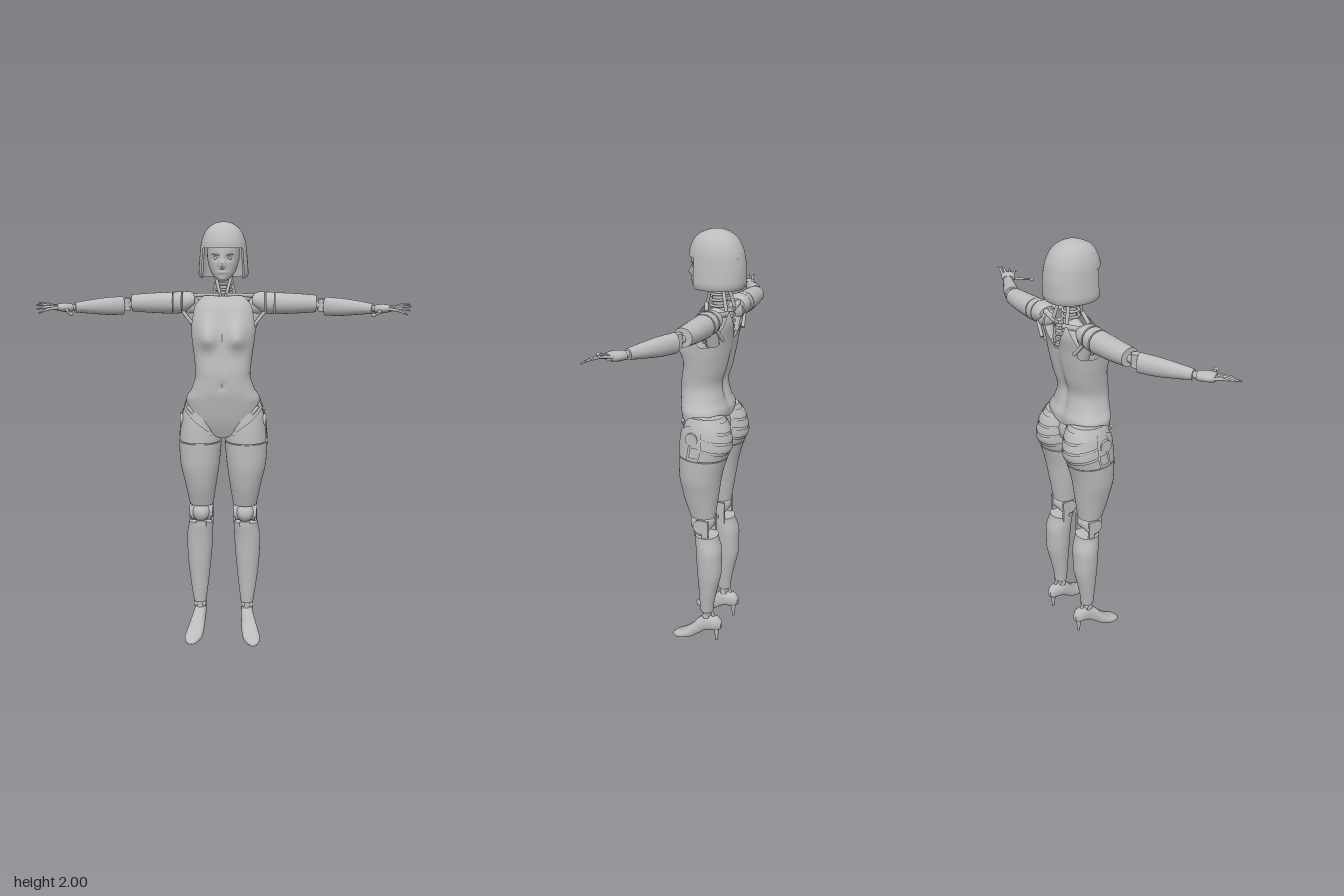
import * as THREE from 'three';
import { mergeVertices, toCreasedNormals } from 'three/addons/utils/BufferGeometryUtils.js';

const grey = new THREE.MeshStandardMaterial({ color: 0xbcbcbc, side: THREE.DoubleSide });
grey.name = 'shell grey';
const D = Math.PI / 180;
const bump = (d, s) => Math.exp(-(d * d) / (2 * s * s));

// Smooth, non-overshooting interpolation of rows [key, a, b, ...] with rising keys
function sample(rows) {
  const slope = (i, c) => (rows[i + 1][c] - rows[i][c]) / (rows[i + 1][0] - rows[i][0]);
  const tangent = (i, c) => {
    if (i === 0) return slope(0, c);
    if (i === rows.length - 1) return slope(i - 1, c);
    const p = slope(i - 1, c), q = slope(i, c);
    return p * q > 0 ? (2 * p * q) / (p + q) : 0;
  };
  return (key) => {
    let i = 0;
    while (i < rows.length - 2 && key > rows[i + 1][0]) i++;
    const h = rows[i + 1][0] - rows[i][0];
    const t = Math.min(1, Math.max(0, (key - rows[i][0]) / h)), t2 = t * t, t3 = t2 * t;
    return rows[i].slice(1).map((v, k) => (2 * t3 - 3 * t2 + 1) * v + (t3 - 2 * t2 + t) * h * tangent(i, k + 1)
      + (3 * t2 - 2 * t3) * rows[i + 1][k + 1] + (t3 - t2) * h * tangent(i + 1, k + 1));
  };
}

function add(parent, name, geo, pos = [0, 0, 0], scale = [1, 1, 1]) {
  const m = new THREE.Mesh(geo, grey);
  m.name = name;
  m.position.set(...pos);
  m.scale.set(...scale);
  parent.add(m);
  return m;
}

// Grid surface from fn(u, v), welded at seams, with creases kept sharp
function surface(fn, nu, nv) {
  const pos = [], idx = [];
  for (let j = 0; j <= nv; j++) for (let i = 0; i <= nu; i++) pos.push(...fn(i / nu, j / nv, j));
  for (let j = 0; j < nv; j++) for (let i = 0; i < nu; i++) {
    const a = j * (nu + 1) + i, b = a + 1, c = a + nu + 1, d = c + 1;
    idx.push(a, b, d, a, d, c);
  }
  const g = new THREE.BufferGeometry();
  g.setAttribute('position', new THREE.Float32BufferAttribute(pos, 3));
  g.setIndex(idx);
  return toCreasedNormals(mergeVertices(g, 1e-5), 0.8);
}

// Superellipse point: half width w, front z f, back z b, angle a from the front towards +x
function oval(w, f, b, a, k, e = 2.2) {
  const p = (t) => Math.sign(t) * Math.abs(t) ** (2 / e);
  return [k * w * p(Math.sin(a)), (f + b) / 2 + k * ((f - b) / 2) * p(Math.cos(a))];
}

// Patch of an upright shape(y, angle, scale) between lower and upper edge curves
function skin(shape, lo, hi, { a0 = 0, a1 = 360, nu = 40, nv = 24, cap = false, k = 1, ease = (v) => v } = {}) {
  const at = (e, a) => (typeof e === 'function' ? e(a) : e);
  return surface((u, v, j) => {
    const deg = a0 + (a1 - a0) * u;
    const t = cap ? Math.min(1, Math.max(0, (j - 1) / (nv - 2))) : v;
    const y = at(lo, deg) + (at(hi, deg) - at(lo, deg)) * ease(t);
    return shape(y, deg * D, cap && (j === 0 || j === nv) ? 0 : k);
  }, nu, nv);
}

// Closed loft through rings [x, y, z, vertical radius, side radius]
function limb(rings, dir, nv = 14, nu = 24, e = 2.1) {
  const at = sample(rings.map((r, i) => [i, ...r]));
  const first = rings[0], last = rings[rings.length - 1];
  const T = dir ? new THREE.Vector3(...dir)
    : new THREE.Vector3(last[0] - first[0], last[1] - first[1], last[2] - first[2]).normalize();
  const S = T.clone().cross(new THREE.Vector3(0, 1, 0)).normalize(), U = S.clone().cross(T);
  return surface((u, v, j) => {
    const t = Math.min(1, Math.max(0, (j - 1) / (nv - 2))), k = j === 0 || j === nv ? 0 : 1;
    const [x, y, z, rv, rh] = at(t * (rings.length - 1));
    const [s, c] = oval(rh, rv, -rv, u * 2 * Math.PI, k, e);
    return [x + U.x * c + S.x * s, y + U.y * c + S.y * s, z + U.z * c + S.z * s];
  }, nu, nv);
}

function rod(parent, name, a, b, r0, r1 = r0) {
  const A = new THREE.Vector3(...a), B = new THREE.Vector3(...b), d = B.clone().sub(A);
  const m = add(parent, name, new THREE.CylinderGeometry(r1, r0, d.length(), 14), A.clone().add(B).multiplyScalar(0.5).toArray());
  m.quaternion.setFromUnitVectors(new THREE.Vector3(0, 1, 0), d.normalize());
  return m;
}
const ball = new THREE.SphereGeometry(1, 24, 16);

// Torso rows: y, half width, front, back
const torsoRow = sample([[1.02, 0.12, 0.04, -0.1], [1.1, 0.16, 0.07, -0.11], [1.2, 0.172, 0.092, -0.122],
  [1.25, 0.146, 0.1, -0.106], [1.32, 0.126, 0.102, -0.095], [1.4, 0.134, 0.09, -0.115], [1.48, 0.145, 0.07, -0.13],
  [1.55, 0.15, 0.05, -0.14], [1.62, 0.148, 0.028, -0.155], [1.68, 0.125, -0.01, -0.145]]);
function torsoShape(y, a, k) {
  const [w, f, b] = torsoRow(y);
  let [x, z] = oval(w, f, b, a, k, 2.4);
  if (Math.cos(a) > 0) {
    z += 0.045 * bump(Math.abs(x) - 0.068, 0.034) * bump(y - 1.49, y < 1.49 ? 0.034 : 0.055);
    z -= 0.01 * bump(x, 0.008) * bump(y - 1.275, 0.012) + 0.004 * bump(x, 0.012) * bump(y - 1.35, 0.06);
  } else z += 0.014 * bump(x, 0.016) * bump(y - 1.34, 0.12);
  return [x, y, z];
}
const fold = (a) => (a > 180 ? 360 - a : a);
const topEdge = sample([[0, 1.672], [35, 1.675], [55, 1.64], [75, 1.54], [90, 1.515], [110, 1.52], [130, 1.6], [148, 1.665], [160, 1.62], [180, 1.53]]);
const lowEdge = sample([[0, 1.022], [10, 1.03], [80, 1.19], [100, 1.2], [140, 1.2], [180, 1.165]]);

// Leg rows: y, outer x, inner x, front, back
const legShape = (row) => (y, a, k) => {
  const [o, i, f, b] = row(y), [x, z] = oval((o - i) / 2, f, b, a, k, 2.1);
  return [(o + i) / 2 + x, y, z];
};
const thighShape = legShape(sample([[0.68, 0.16, 0.048, 0.03, -0.088], [0.8, 0.184, 0.03, 0.065, -0.105], [0.9, 0.204, 0.016, 0.08, -0.12],
  [1, 0.209, 0.008, 0.082, -0.148], [1.06, 0.206, 0.007, 0.079, -0.17], [1.13, 0.196, 0.008, 0.07, -0.157], [1.21, 0.168, 0.01, 0.05, -0.115]]));
const calfShape = legShape(sample([[0.165, 0.148, 0.086, -0.022, -0.085], [0.2, 0.153, 0.082, -0.02, -0.088], [0.3, 0.167, 0.07, -0.015, -0.107],
  [0.4, 0.177, 0.06, -0.008, -0.126], [0.5, 0.18, 0.053, -0.003, -0.126], [0.58, 0.167, 0.05, 0.005, -0.104]]));

function buildLeg() {
  const g = new THREE.Group();
  add(g, 'thigh', skin(thighShape, 0.685, 0.997, { cap: true }));
  add(g, 'hipCore', skin(thighShape, 0.99, 1.19, { cap: true, k: 0.94 }));
  add(g, 'upperThighPanel', skin(thighShape, 1.002, (a) => 1.09 + 0.075 * Math.sin(a * D), { a0: -90, a1: 68, nu: 24, nv: 10 }));
  // Layered seat plates
  const bases = [1.002, 1.06, 1.108, 1.153, 1.205];
  for (let i = 0; i < 4; i++) {
    const edge = (n) => (a) => bases[n] - (n ? 0.024 : 0) * Math.sin(((a - 95) / 175) * Math.PI);
    add(g, 'seatPlate', skin(thighShape, edge(i), (a) => edge(i + 1)(a) - 0.009, { a0: 95, a1: 270, nu: 28, nv: 5 }));
  }
  // Hip joint
  rod(g, 'hipDisc', [0.17, 1.1, -0.01], [0.2, 1.1, -0.01], 0.03);
  add(g, 'hipPlate', skin(thighShape, 1.015, 1.065, { a0: 72, a1: 92, nu: 8, nv: 4 }));
  rod(g, 'hipStrut', [0.05, 1.04, 0.055], [0.165, 1.175, 0.045], 0.008);
  // Knee joint
  rod(g, 'kneeAxle', [0.058, 0.635, -0.035], [0.154, 0.635, -0.035], 0.038);
  add(g, 'kneeCap', ball, [0.106, 0.643, -0.012], [0.042, 0.045, 0.044]);
  for (const x of [0.056, 0.156]) {
    rod(g, 'kneeDisc', [x - 0.006, 0.645, -0.035], [x + 0.006, 0.645, -0.035], 0.036);
    add(g, 'kneeLink', new THREE.BoxGeometry(0.012, 0.11, 0.03), [x, 0.625, -0.06]);
  }
  add(g, 'shinBlock', new THREE.BoxGeometry(0.05, 0.025, 0.03), [0.106, 0.588, -0.008]);
  add(g, 'calf', skin(calfShape, 0.165, 0.59, { cap: true }));
  // Ankle joint
  rod(g, 'anklePost', [0.117, 0.1, -0.055], [0.117, 0.18, -0.055], 0.018);
  rod(g, 'ankleAxle', [0.088, 0.147, -0.058], [0.148, 0.147, -0.058], 0.017);
  rod(g, 'ankleTendon', [0.117, 0.11, -0.095], [0.117, 0.18, -0.075], 0.007);
  // High-heeled shoe
  add(g, 'shoe', limb([[0.116, 0.095, -0.13, 0.02, 0.012], [0.116, 0.1, -0.105, 0.037, 0.027], [0.117, 0.097, -0.06, 0.041, 0.03],
    [0.123, 0.075, -0.02, 0.045, 0.033], [0.133, 0.041, 0.02, 0.034, 0.04], [0.142, 0.022, 0.06, 0.021, 0.042],
    [0.149, 0.013, 0.1, 0.012, 0.028], [0.151, 0.007, 0.117, 0.005, 0.008]], [0, 0, 1], 24, 24, 2.5));
  rod(g, 'heel', [0.116, 0, -0.106], [0.116, 0.08, -0.104], 0.005, 0.015);
  return g;
}

function buildArm() {
  const g = new THREE.Group();
  // Shoulder
  add(g, 'shoulderBall', ball, [0.15, 1.625, -0.085], [0.038, 0.045, 0.042]);
  add(g, 'shoulderCap', limb([[0.132, 1.65, -0.085, 0.026, 0.045], [0.155, 1.645, -0.085, 0.042, 0.055], [0.188, 1.64, -0.086, 0.05, 0.055]], [1, 0, 0]));
  add(g, 'shoulderBand', limb([[0.194, 1.638, -0.086, 0.05, 0.054], [0.232, 1.636, -0.086, 0.05, 0.053]], [1, 0, 0], 8));
  rod(g, 'shoulderPiston', [0.142, 1.54, -0.05], [0.19, 1.6, -0.06], 0.008);
  rod(g, 'shoulderMount', [0.125, 1.53, -0.085], [0.15, 1.6, -0.085], 0.028);
  rod(g, 'rearPiston', [0.12, 1.55, -0.13], [0.18, 1.62, -0.115], 0.008);
  // Upper arm and elbow
  add(g, 'upperArm', limb([[0.237, 1.635, -0.086, 0.05, 0.052], [0.33, 1.635, -0.084, 0.046, 0.049], [0.425, 1.635, -0.078, 0.039, 0.043]]));
  rod(g, 'elbowLink', [0.41, 1.63, -0.08], [0.485, 1.626, -0.055], 0.017);
  rod(g, 'elbowAxle', [0.45, 1.602, -0.068], [0.45, 1.658, -0.068], 0.019);
  // Forearm, wrist and hand
  add(g, 'forearm', limb([[0.468, 1.624, -0.064, 0.042, 0.031], [0.53, 1.623, -0.034, 0.04, 0.034], [0.6, 1.623, 0, 0.032, 0.029], [0.67, 1.622, 0.036, 0.022, 0.023]]));
  rod(g, 'wrist', [0.66, 1.622, 0.03], [0.7, 1.622, 0.055], 0.014);
  add(g, 'palm', limb([[0.683, 1.622, 0.045, 0.018, 0.026], [0.71, 1.624, 0.063, 0.02, 0.034], [0.745, 1.626, 0.082, 0.013, 0.034]], null, 10));
  const fingers = [[0.755, 0.06, 0.825, 1.645, 0.073], [0.752, 0.077, 0.831, 1.637, 0.1], [0.744, 0.092, 0.818, 1.622, 0.135], [0.733, 0.105, 0.802, 1.607, 0.163]];
  for (const [bx, bz, tx, ty, tz] of fingers) {
    const mid = [(bx + tx) / 2, (1.631 + ty) / 2 + 0.003, (bz + tz) / 2];
    rod(g, 'fingerBase', [bx - 0.012, 1.627, bz - 0.008], mid, 0.007, 0.006);
    add(g, 'knuckle', ball, mid, [0.0065, 0.0065, 0.0065]);
    rod(g, 'fingerTip', mid, [tx, ty, tz], 0.0055, 0.003);
  }
  rod(g, 'thumbBase', [0.698, 1.616, 0.08], [0.68, 1.609, 0.128], 0.008, 0.006);
  rod(g, 'thumbTip', [0.68, 1.609, 0.128], [0.66, 1.604, 0.165], 0.005, 0.004);
  add(g, 'thumbPad', ball, [0.658, 1.604, 0.167], [0.01, 0.008, 0.011]);
  return g;
}

// Head rows: y, half width, front, back
const headRow = sample([[1.74, 0.014, 0.048, 0], [1.755, 0.036, 0.06, -0.04], [1.78, 0.055, 0.062, -0.09], [1.81, 0.066, 0.063, -0.12],
  [1.85, 0.073, 0.064, -0.14], [1.89, 0.073, 0.06, -0.14], [1.94, 0.055, 0.035, -0.12]]);
function headShape(y, a, k) {
  const [w, f, b] = headRow(y);
  let [x, z] = oval(w, f, b, a, k, 2.1);
  if (Math.cos(a) > 0) {
    z += 0.02 * bump(x, 0.009) * bump(y - 1.806, y < 1.806 ? 0.007 : 0.02);
    z += 0.007 * bump(x, 0.016) * (bump(y - 1.784, 0.004) + bump(y - 1.775, 0.004)) + 0.004 * bump(x, 0.015) * bump(y - 1.752, 0.007);
    z -= 0.01 * bump(Math.abs(x) - 0.03, 0.013) * bump(y - 1.842, 0.009);
  }
  return [x, y, z];
}
const hairRow = sample([[1.75, 0.115, 0.072, -0.18], [1.82, 0.11, 0.072, -0.18], [1.9, 0.102, 0.069, -0.17], [1.95, 0.085, 0.052, -0.148],
  [1.975, 0.066, 0.03, -0.125], [1.99, 0.043, 0, -0.098], [1.998, 0.02, -0.028, -0.072], [2, 0, -0.05, -0.05]]);
function hairShape(y, a, k) {
  const [w, f, b] = hairRow(y), [x, z] = oval(w, f, b, a, k, 2.2);
  return [x, y, z];
}

function buildHead() {
  const g = new THREE.Group();
  g.name = 'head';
  add(g, 'face', skin(headShape, 1.74, 1.94, { nu: 96, nv: 60, cap: true }));
  add(g, 'hairCap', skin(hairShape, 1.885, 2, { nu: 48, nv: 24, ease: (v) => Math.sin((v * Math.PI) / 2) }));
  // Hanging bob with an inner wall
  add(g, 'hairCurtain', surface((u, v) => hairShape(1.752 + 0.133 * Math.abs(1 - 2 * v), (56 + 248 * u) * D, v > 0.5 ? 1 : 0.92), 44, 16));
  for (const s of [-1, 1]) {
    add(g, 'eye', ball, [s * 0.03, 1.841, 0.043], [0.012, 0.007, 0.008]);
    rod(g, 'brow', [s * 0.016, 1.855, 0.061], [s * 0.045, 1.857, 0.05], 0.0025);
  }
  // Neck column with struts and rings
  rod(g, 'neckCore', [0, 1.6, -0.07], [0, 1.78, -0.055], 0.03, 0.028);
  for (const y of [1.675, 1.7, 1.725]) {
    const ring = add(g, 'neckRing', new THREE.TorusGeometry(0.036, 0.006, 8, 28), [0, y, -0.06]);
    ring.rotation.x = Math.PI / 2;
  }
  for (const s of [-1, 1]) {
    rod(g, 'neckStrut', [s * 0.012, 1.67, -0.008], [s * 0.04, 1.775, -0.045], 0.007);
    rod(g, 'rearNeckStrut', [s * 0.05, 1.66, -0.115], [s * 0.025, 1.78, -0.085], 0.008);
    rod(g, 'collarBone', [s * 0.015, 1.678, -0.008], [s * 0.135, 1.672, -0.06], 0.009);
    rod(g, 'bladeBar', [s * 0.02, 1.64, -0.11], [s * 0.14, 1.66, -0.1], 0.012);
  }
  return g;
}

export function createModel() {
  const model = new THREE.Group();
  add(model, 'torso', skin(torsoShape, (a) => lowEdge(fold(a))[0], (a) => topEdge(fold(a))[0], { nu: 96, nv: 72 }));
  // Inner frame seen through the openings
  add(model, 'chestCore', ball, [0, 1.56, -0.06], [0.11, 0.11, 0.06]);
  add(model, 'pelvisCore', ball, [0, 1.12, -0.03], [0.14, 0.09, 0.085]);
  add(model, 'crotch', ball, [0, 1.065, -0.03], [0.035, 0.045, 0.07]);
  for (let i = 0; i < 6; i++) add(model, 'vertebra', new THREE.BoxGeometry(0.03, 0.016, 0.025), [0, 1.53 + i * 0.026, -0.12]);
  model.add(buildHead());
  for (const [side, s] of [['left', 1], ['right', -1]]) {
    const arm = buildArm(), leg = buildLeg();
    arm.name = side + 'Arm';
    leg.name = side + 'Leg';
    arm.scale.x = leg.scale.x = s;
    model.add(arm, leg);
  }
  return model;
}
